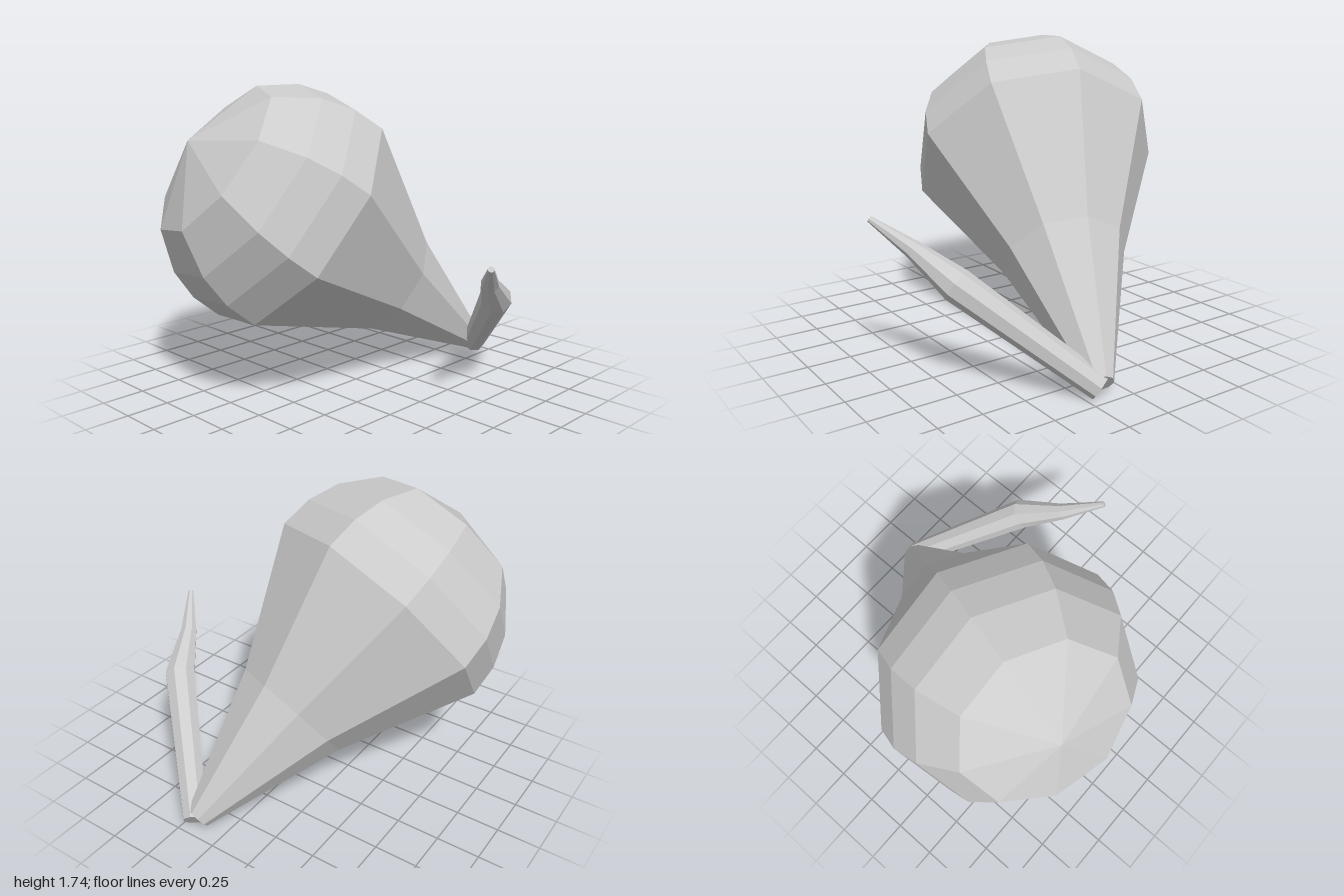
import * as THREE from 'three';

const V = (x, y, z) => new THREE.Vector3(x, y, z);
const material = new THREE.MeshStandardMaterial({ color: 0xcccccc, flatShading: true });

// Faceted body turned around a tilted axis; `out` is the direction of its first seam.
// Profile entries are [radius, distance along axis, optional sideways shift].
function turned(name, profile, sides, origin, axis, out) {
  const y = axis.clone().normalize();
  const x = V().crossVectors(y, out).normalize();
  const z = V().crossVectors(x, y);
  const geometry = new THREE.LatheGeometry(profile.map(([r, h]) => new THREE.Vector2(r, h)), sides);
  geometry.applyMatrix4(new THREE.Matrix4().makeBasis(x, y, z).setPosition(origin));
  const pos = geometry.attributes.position;
  for (let i = 0; i < pos.count; i++) {
    const shift = profile[i % profile.length][2];
    if (shift) pos.setXYZ(i, pos.getX(i) + shift.x, pos.getY(i) + shift.y, pos.getZ(i) + shift.z);
  }
  geometry.computeVertexNormals();
  const mesh = new THREE.Mesh(geometry, material);
  mesh.name = name;
  return mesh;
}

export function createModel() {
  const group = new THREE.Group();
  group.name = 'bulbWithStem';

  // Large nine-sided bulb: narrow foot, flared neck and domed end
  group.add(turned('bulb', [
    [0, -1.55], [0.072, -1.55], [0.355, -0.75], [0.735, 0],
    [0.722, 0.19], [0.655, 0.375], [0.49, 0.585], [0, 0.76],
  ], 9, V(-0.237, 1.002, -0.27), V(-0.752, 0.598, -0.278), V(0.58, 0.814, 0.027)));

  // Slender stem, slightly bent where it starts to taper
  group.add(turned('stem', [
    [0, 0], [0.07, 0], [0.092, 0.889, V(0.056, 0.021, 0.046)],
    [0.05, 1.184, V(0.017, 0.012, 0.007)], [0.017, 1.466], [0, 1.466],
  ], 8, V(0.94, 0.06, 0.17), V(-0.95, 0.79, 0.79), V(0.6, 0.8, -0.08)));

  return group;
}
